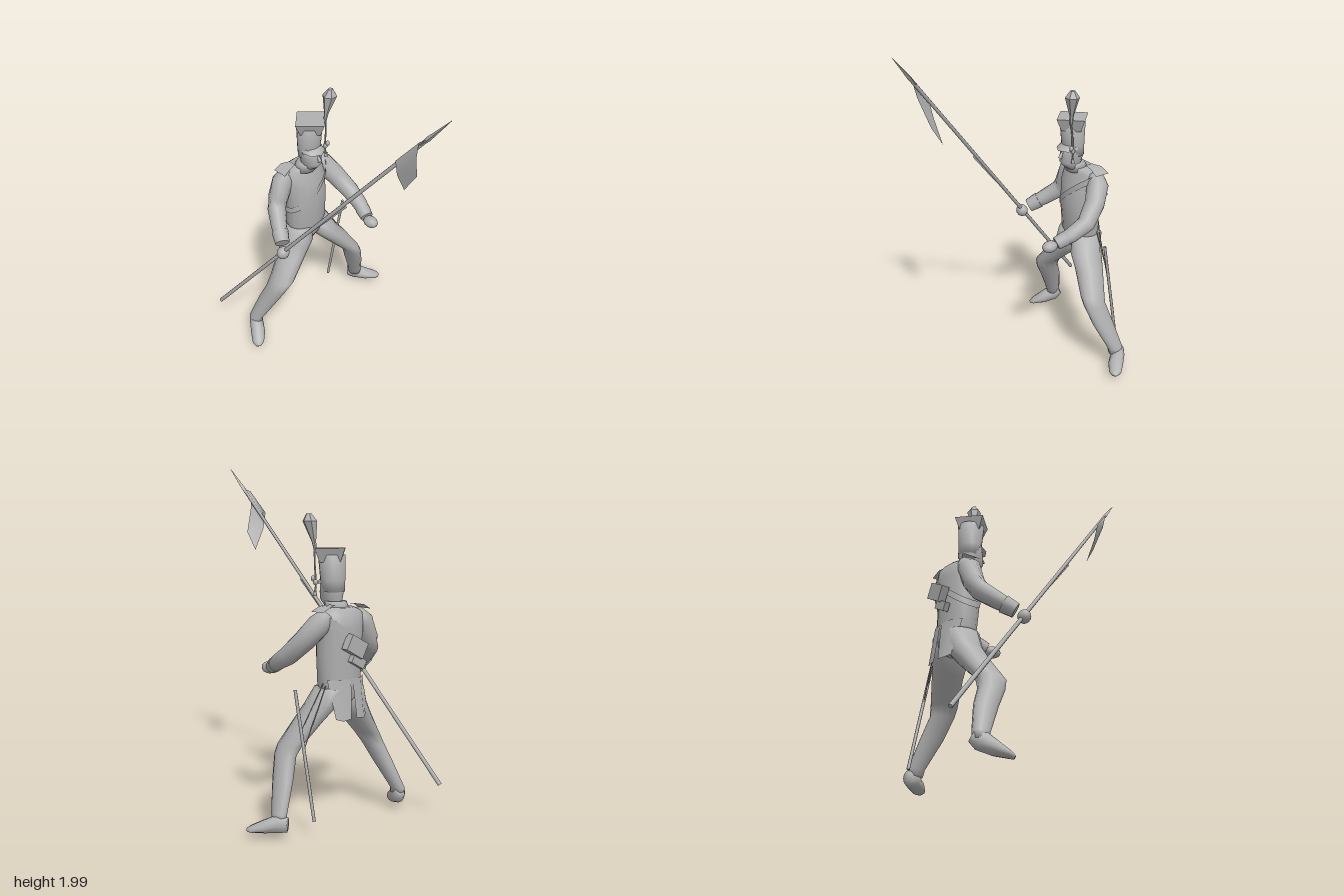
import * as THREE from 'three';

const V = (p) => new THREE.Vector3(...p);

// Loft through rings [x, y, z, ru, rv]; level rings stay horizontal, others follow the path
function loft(rings, { level = false, sides = 12 } = {}) {
  const c = rings.map((r) => V(r));
  const pos = [], idx = [];
  const n = rings.length;
  const ring = (center, u, v, a, b) => {
    for (let j = 0; j < sides; j++) {
      const w = (j / sides) * Math.PI * 2;
      const p = center.clone().addScaledVector(u, a * Math.cos(w)).addScaledVector(v, b * Math.sin(w));
      pos.push(p.x, p.y, p.z);
    }
  };
  rings.forEach((r, i) => {
    const t = level ? V([0, 1, 0]) : c[Math.min(i + 1, n - 1)].clone().sub(c[Math.max(i - 1, 0)]).normalize();
    const u = level ? V([1, 0, 0]) : V([0, 1, 0]).cross(t).normalize();
    const v = t.clone().cross(u);
    const b = r[4] ?? r[3];
    if (i === 0) ring(c[i], u, v, 0, 0);
    ring(c[i], u, v, r[3], b);
    if (i === n - 1) ring(c[i], u, v, 0, 0);
  });
  for (let i = 0; i < n + 1; i++) {
    for (let j = 0; j < sides; j++) {
      const k = (j + 1) % sides, a = i * sides, b = a + sides;
      idx.push(a + j, a + k, b + j, a + k, b + k, b + j);
    }
  }
  const g = new THREE.BufferGeometry();
  g.setAttribute('position', new THREE.Float32BufferAttribute(pos, 3));
  g.setIndex(idx);
  g.computeVertexNormals();
  return g;
}

// Thin sheet between two edges given as point lists
function ribbon(edgeA, edgeB) {
  const pos = [], idx = [];
  edgeA.forEach((p, i) => {
    pos.push(...p, ...edgeB[i]);
    if (i) idx.push(2 * i - 2, 2 * i - 1, 2 * i, 2 * i - 1, 2 * i + 1, 2 * i);
  });
  const g = new THREE.BufferGeometry();
  g.setAttribute('position', new THREE.Float32BufferAttribute(pos, 3));
  g.setIndex(idx);
  g.computeVertexNormals();
  return g;
}

// Straight rod between two points
function rod(a, b, ra, rb = ra, sides = 8) {
  const d = V(b).sub(V(a));
  const g = new THREE.CylinderGeometry(rb, ra, d.length(), sides);
  g.applyQuaternion(new THREE.Quaternion().setFromUnitVectors(V([0, 1, 0]), d.clone().normalize()));
  const m = V(a).addScaledVector(d, 0.5);
  return g.translate(m.x, m.y, m.z);
}

const ball = (p, rx, ry, rz) => new THREE.SphereGeometry(1, 12, 8).scale(rx, ry, rz).translate(...p);
const flat = (g) => {
  const f = g.toNonIndexed();
  f.computeVertexNormals();
  return f;
};

export function createModel() {
  const model = new THREE.Group();
  const grey = new THREE.MeshStandardMaterial({ color: 0xb0b0b0, side: THREE.DoubleSide });
  grey.name = 'plain grey';
  const add = (name, geometry) => {
    const m = new THREE.Mesh(geometry, grey);
    m.name = name;
    model.add(m);
  };

  // Body
  add('torso', loft([
    [-0.02, 0.67, -0.41, 0.04, 0.06], [-0.022, 0.72, -0.41, 0.1, 0.09], [-0.022, 0.8, -0.41, 0.139, 0.096],
    [-0.022, 0.95, -0.4, 0.135, 0.105], [-0.022, 1.1, -0.41, 0.145, 0.108], [-0.022, 1.18, -0.42, 0.145, 0.08],
    [-0.028, 1.21, -0.4, 0.09, 0.065],
  ], { level: true, sides: 16 }));
  add('collar', loft([
    [-0.035, 1.18, -0.385, 0.068, 0.07], [-0.035, 1.24, -0.36, 0.062, 0.06],
  ], { level: true }));
  add('head', loft([
    [-0.03, 1.2, -0.36, 0.045, 0.05], [-0.03, 1.23, -0.335, 0.046, 0.062], [-0.03, 1.25, -0.33, 0.054, 0.072],
    [-0.03, 1.3, -0.335, 0.063, 0.073], [-0.03, 1.36, -0.338, 0.066, 0.066],
  ], { level: true }));
  add('nose', flat(rod([-0.03, 1.28, -0.25], [-0.03, 1.33, -0.272], 0.016, 0.004, 4)));

  // Square-topped cap with peak, plume and cords
  add('capBody', loft([
    [-0.03, 1.29, -0.35, 0.064, 0.058], [-0.03, 1.35, -0.342, 0.07, 0.066], [-0.028, 1.49, -0.335, 0.073, 0.078],
  ], { level: true, sides: 16 }));
  const crown = new THREE.CylinderGeometry(0.115, 0.08, 0.075, 4).translate(-0.022, 1.488, -0.33);
  add('capCrown', flat(crown));
  add('capPeak', ribbon(
    [[-0.1, 1.35, -0.33], [-0.075, 1.355, -0.285], [-0.03, 1.36, -0.27], [0.015, 1.355, -0.285], [0.04, 1.35, -0.33]],
    [[-0.1, 1.335, -0.32], [-0.085, 1.33, -0.265], [-0.03, 1.33, -0.235], [0.025, 1.33, -0.265], [0.04, 1.335, -0.32]],
  ));
  add('plume', flat(loft([
    [0.035, 1.5, -0.275, 0.008], [0.045, 1.56, -0.27, 0.013], [0.064, 1.67, -0.258, 0.042], [0.068, 1.71, -0.255, 0.015],
  ], { level: true, sides: 6 })));
  const cord = new THREE.CatmullRomCurve3([
    [0.04, 1.51, -0.27], [0.045, 1.42, -0.28], [0.042, 1.34, -0.285], [0.048, 1.28, -0.285],
  ].map(V));
  add('capCord', new THREE.TubeGeometry(cord, 10, 0.005, 6));
  add('cordKnot', ball([0.045, 1.34, -0.285], 0.014, 0.016, 0.014));
  add('cordKnot', ball([0.05, 1.36, -0.27], 0.012, 0.016, 0.012));
  add('tassel', rod([0.048, 1.265, -0.285], [0.046, 1.305, -0.285], 0.012, 0.004, 6));

  // Arms, cuffs and hands
  add('rightArm', loft([
    [-0.12, 1.175, -0.43, 0.045], [-0.17, 1.125, -0.43, 0.064], [-0.212, 1.03, -0.43, 0.06],
    [-0.245, 0.97, -0.41, 0.055], [-0.3, 0.91, -0.33, 0.047], [-0.345, 0.86, -0.255, 0.036],
  ]));
  add('leftArm', loft([
    [0.085, 1.175, -0.425, 0.045], [0.13, 1.125, -0.41, 0.064], [0.18, 1.04, -0.35, 0.06],
    [0.217, 0.95, -0.26, 0.054], [0.207, 0.9, -0.16, 0.045], [0.18, 0.86, -0.08, 0.035],
  ]));
  add('rightCuff', rod([-0.315, 0.893, -0.305], [-0.348, 0.857, -0.25], 0.05, 0.042, 12));
  add('leftCuff', rod([0.197, 0.885, -0.13], [0.18, 0.86, -0.075], 0.045, 0.039, 12));
  add('rightHand', ball([-0.375, 0.822, -0.215], 0.04, 0.038, 0.036));
  add('leftHand', ball([0.172, 0.848, -0.035], 0.038, 0.034, 0.05));

  // Shoulder pieces
  for (const [name, inner, outer] of [['rightEpaulette', -0.1, -0.195], ['leftEpaulette', 0.035, 0.155]]) {
    const mid = (inner + outer) / 2;
    add(name, ribbon(
      [[inner, 1.225, -0.44], [mid, 1.222, -0.465], [outer, 1.195, -0.47]],
      [[inner, 1.225, -0.39], [mid, 1.222, -0.38], [outer, 1.195, -0.375]],
    ));
  }

  // Legs and feet
  add('leftLeg', loft([
    [0.385, 0.1, -0.39, 0.037, 0.045], [0.383, 0.14, -0.385, 0.038, 0.05], [0.317, 0.3, -0.335, 0.045, 0.07],
    [0.272, 0.42, -0.302, 0.05, 0.073], [0.245, 0.47, -0.307, 0.057, 0.08], [0.15, 0.6, -0.35, 0.08, 0.087],
    [0.085, 0.68, -0.375, 0.085, 0.1], [0.048, 0.78, -0.41, 0.075, 0.095],
  ], { level: true }));
  add('rightLeg', loft([
    [-0.413, 0.1, -0.5, 0.037, 0.045], [-0.41, 0.14, -0.497, 0.038, 0.048], [-0.35, 0.3, -0.43, 0.05, 0.068],
    [-0.32, 0.4, -0.38, 0.056, 0.075], [-0.285, 0.47, -0.36, 0.066, 0.085], [-0.165, 0.6, -0.39, 0.09, 0.09],
    [-0.1, 0.68, -0.405, 0.1, 0.1], [-0.09, 0.78, -0.41, 0.075, 0.095],
  ], { level: true }));
  add('leftFoot', loft([
    [0.37, 0.085, -0.44, 0.028, 0.04], [0.398, 0.087, -0.4, 0.042, 0.05], [0.45, 0.067, -0.34, 0.045, 0.034],
    [0.5, 0.052, -0.295, 0.036, 0.018], [0.515, 0.047, -0.278, 0.015, 0.01],
  ]));
  add('rightFoot', loft([
    [-0.393, 0.12, -0.535, 0.028, 0.035], [-0.412, 0.098, -0.5, 0.042, 0.052], [-0.45, 0.06, -0.44, 0.045, 0.038],
    [-0.492, 0.03, -0.39, 0.036, 0.019], [-0.505, 0.016, -0.372, 0.015, 0.01],
  ]));

  // Coat tails
  for (const s of [-1, 1]) {
    const x = (d) => -0.022 + s * d;
    add(s < 0 ? 'rightCoatTail' : 'leftCoatTail', ribbon(
      [[x(0.005), 0.83, -0.508], [x(0.075), 0.83, -0.498], [x(0.132), 0.83, -0.455]],
      [[x(0.02), 0.615, -0.53], [x(0.075), 0.61, -0.528], [x(0.11), 0.62, -0.505]],
    ));
  }

  // Shoulder belt looped round the chest, with a pouch on the back
  const top = [], bottom = [];
  for (let i = 0; i <= 24; i++) {
    const w = (i / 24) * Math.PI * 2;
    const x = -0.022 + 0.148 * Math.cos(w), z = -0.407 + 0.113 * Math.sin(w);
    const y = 1.045 + 0.12 * Math.cos(w);
    top.push([x, y + 0.02, z]);
    bottom.push([x, y - 0.02, z]);
  }
  add('shoulderBelt', ribbon(top, bottom));
  add('pouch', new THREE.BoxGeometry(0.13, 0.09, 0.045).rotateZ(0.5).translate(-0.02, 1.01, -0.532));
  add('pouchBase', new THREE.BoxGeometry(0.1, 0.05, 0.03).rotateZ(0.5).translate(-0.05, 0.925, -0.52));

  // Sabre with its slings
  add('sabre', rod([0.262, 0.785, -0.372], [0.245, 0.095, -0.51], 0.009));
  add('sabreSling', rod([0.115, 0.81, -0.43], [0.256, 0.57, -0.415], 0.003, 0.003, 4));
  add('sabreSling', rod([0.115, 0.8, -0.45], [0.253, 0.47, -0.435], 0.003, 0.003, 4));

  // Lance with blade, pennant and wrist strap
  const butt = V([-0.51, 0.19, -0.73]), tip = V([-0.12, 2, 0.73]);
  const along = (t) => butt.clone().lerp(tip, t).toArray();
  add('lanceShaft', rod(along(0), along(0.93), 0.012, 0.01));
  add('lanceBlade', flat(loft([
    [...along(0.9), 0.008], [...along(0.93), 0.02, 0.012], [...along(1), 0.001],
  ], { sides: 4 })));
  add('pennant', ribbon(
    [along(0.93), [-0.182, 1.855, 0.6], [-0.17, 1.755, 0.58], [-0.11, 1.6, 0.54]],
    [along(0.845), [-0.217, 1.72, 0.49], [-0.19, 1.62, 0.48], [-0.12, 1.49, 0.47]],
  ));
  const strap = [[0.63, 0.028], [0.55, 0.022], [0.46, 0.012]];
  add('wristStrap', ribbon(
    strap.map(([t]) => along(t)),
    strap.map(([t, d]) => { const p = along(t); return [p[0] + 0.004, p[1] - d * 0.6, p[2] + d * 0.5]; }),
  ));

  return model;
}
